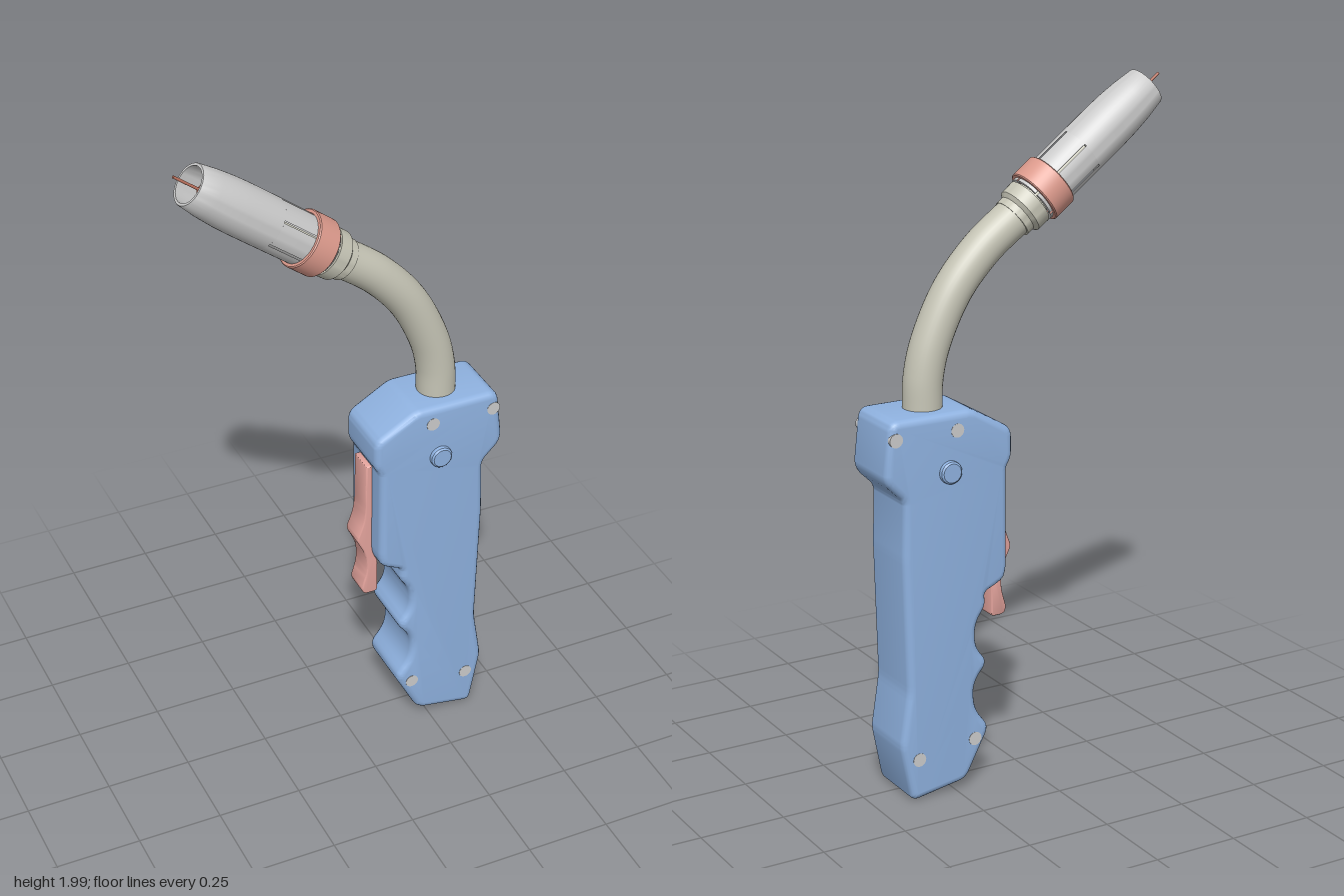
import * as THREE from 'three';
import { toCreasedNormals } from 'three/addons/utils/BufferGeometryUtils.js';

const mat = (color) => new THREE.MeshStandardMaterial({ color, side: THREE.DoubleSide });
const blue = mat(0x8fb2e0), pink = mat(0xe3a39c), ringPink = mat(0xdc9a8c);
const beige = mat(0xc6c5b6), grey = mat(0xcccccc), copper = mat(0xb9705c);

function add(parent, name, geometry, material) {
  const mesh = new THREE.Mesh(geometry, material);
  mesh.name = name;
  parent.add(mesh);
  return mesh;
}

// Closed polygon of [x, y, cut]; each corner is rounded by a quadratic curve
function roundedShape(points) {
  const shape = new THREE.Shape();
  const n = points.length;
  const v = points.map(([x, y]) => new THREE.Vector2(x, y));
  v.forEach((p, i) => {
    const toward = (q) => {
      const edge = q.clone().sub(p);
      const len = edge.length();
      return p.clone().addScaledVector(edge, Math.min(points[i][2] ?? 0.03, len * 0.46) / len);
    };
    const a = toward(v[(i + n - 1) % n]), b = toward(v[(i + 1) % n]);
    if (i === 0) shape.moveTo(a.x, a.y);
    else shape.lineTo(a.x, a.y);
    shape.quadraticCurveTo(p.x, p.y, b.x, b.y);
  });
  shape.closePath();
  return shape;
}

// Extrusion centred on z = 0 with rounded edges that stay inside the outline
function slab(points, width, bevel) {
  const geometry = new THREE.ExtrudeGeometry(roundedShape(points), {
    depth: width - 2 * bevel, bevelThickness: bevel, bevelSize: bevel,
    bevelOffset: -bevel, bevelSegments: 4, curveSegments: 6,
  });
  geometry.translate(0, 0, -width / 2 + bevel);
  return toCreasedNormals(geometry, 0.6);
}

// Lathe around y from [radius, height] pairs
function turned(points, segments = 48, start = 0, length = Math.PI * 2) {
  const profile = points.map(([r, y]) => new THREE.Vector2(r, y));
  return toCreasedNormals(new THREE.LatheGeometry(profile, segments, start, length), 0.5);
}

export function createModel() {
  const model = new THREE.Group();
  model.name = 'weldingTorch';

  // Pistol grip with a wider head and two finger grooves
  add(model, 'handle', slab([
    [0.19, 1.132, 0.02], [0.446, 1.132], [0.466, 0.96], [0.405, 0.90, 0.02],
    [0.41, 0.73, 0.02], [0.40, 0.335, 0.02], [0.425, 0.177, 0.02], [0.392, 0.003, 0.025],
    [0.215, 0.033, 0.025], [0.138, 0.18, 0.025],
    [0.185, 0.24, 0.1], [0.19, 0.32, 0.1], [0.142, 0.378, 0.025],
    [0.182, 0.43, 0.1], [0.182, 0.50, 0.1], [0.147, 0.55, 0.025],
    [0.152, 0.588, 0.015], [0.09, 0.615], [0.08, 0.65, 0.02], [0.08, 0.945, 0.01],
    [0.063, 0.975, 0.015], [0.063, 1.058, 0.025],
  ], 0.2, 0.02), blue);

  // Trigger with a finger bump
  add(model, 'trigger', slab([
    [0.062, 0.945, 0.004], [0.09, 0.945, 0.004], [0.09, 0.62, 0.01], [0.101, 0.60, 0.01],
    [0.101, 0.488, 0.012], [0.058, 0.488, 0.015], [0.05, 0.508, 0.01],
    [0.068, 0.57, 0.05], [0.064, 0.63, 0.05], [0.034, 0.69, 0.012],
    [0.06, 0.76, 0.05],
  ], 0.08, 0.005), pink);

  // Side buttons and screws on both faces
  for (const side of [-1, 1]) {
    const button = add(model, 'sideButton', turned(
      [[0, 0.035], [0.027, 0.035], [0.032, 0.031], [0.033, 0.026], [0.033, 0]], 32), blue);
    button.rotation.x = side * Math.PI / 2;
    button.position.set(0.265, 0.965, side * 0.08);
    for (const [x, y] of [[0.24, 1.08], [0.43, 1.08], [0.19, 0.155], [0.37, 0.13]]) {
      const screw = add(model, 'screw', new THREE.CylinderGeometry(0.02, 0.02, 0.02, 24), grey);
      screw.rotation.x = Math.PI / 2;
      screw.position.set(x, y, side * 0.091);
    }
  }

  // Bent swan neck
  const path = new THREE.CatmullRomCurve3([
    [0.295, 1.06], [0.295, 1.14], [0.291, 1.215], [0.269, 1.305],
    [0.2, 1.445], [0.105, 1.553], [0.005, 1.629], [-0.035, 1.66],
  ].map(([x, y]) => new THREE.Vector3(x, y, 0)));
  add(model, 'neck', new THREE.TubeGeometry(path, 60, 0.056, 32), beige);

  // Nozzle assembly, built upright and tilted along the neck's end
  const head = new THREE.Group();
  head.name = 'nozzleAssembly';
  head.position.set(0, 1.63, 0);
  head.rotation.z = 0.92;
  model.add(head);

  add(head, 'collar', turned([
    [0.04, -0.01], [0.06, -0.01], [0.06, 0.012], [0.071, 0.022], [0.072, 0.062], [0.05, 0.062],
  ]), beige);
  add(head, 'diffuser', turned([[0, 0.05], [0.05, 0.05], [0.05, 0.27], [0.03, 0.29], [0, 0.29]]), beige);

  // Rear nozzle sleeve, split by six lengthwise slots
  const gap = 0.09;
  for (let k = 0; k < 6; k++) {
    add(head, 'nozzleFinger', turned(
      [[0.062, 0.068], [0.073, 0.068], [0.0735, 0.265], [0.062, 0.265], [0.062, 0.068]],
      8, Math.PI / 6 + k * Math.PI / 3 + gap / 2, Math.PI / 3 - gap), grey);
  }
  // Front nozzle, tapered and open at the tip
  add(head, 'nozzle', turned([
    [0.062, 0.265], [0.0735, 0.265], [0.0735, 0.37], [0.072, 0.42], [0.068, 0.475],
    [0.0605, 0.532], [0.059, 0.535], [0.052, 0.535], [0.058, 0.47], [0.062, 0.38], [0.062, 0.265],
  ]), grey);
  add(head, 'clampRing', turned([
    [0.073, 0.077], [0.081, 0.077], [0.084, 0.08], [0.084, 0.148], [0.081, 0.151],
    [0.073, 0.151], [0.073, 0.077],
  ]), ringPink);

  // Contact tip and wire
  add(head, 'contactTip', turned([[0.026, 0.28], [0.026, 0.46], [0.016, 0.495], [0, 0.495]], 24), copper);
  const wire = add(head, 'wire', new THREE.CylinderGeometry(0.004, 0.004, 0.11, 12), copper);
  wire.position.y = 0.532;

  return model;
}
